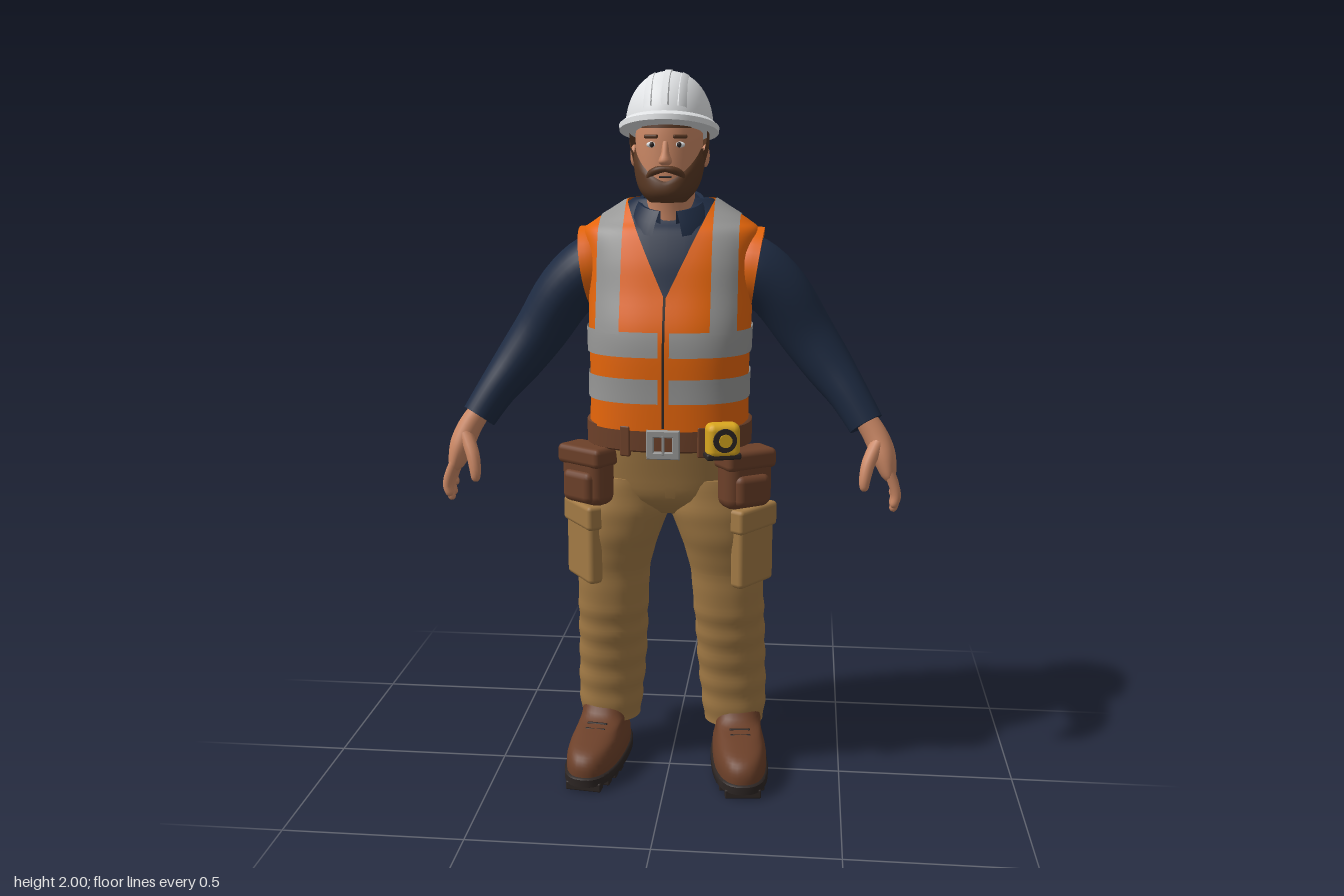
import * as THREE from 'three';
import { toCreasedNormals } from 'three/addons/utils/BufferGeometryUtils.js';
import { RoundedBoxGeometry } from 'three/addons/geometries/RoundedBoxGeometry.js';

const V3 = THREE.Vector3, { sin, cos, abs, min, max, PI } = Math;

// Grid of points -> smooth surface with creased edges
function grid(nu, nv, fn) {
  const pos = [], idx = [];
  for (let i = 0; i <= nu; i++) for (let j = 0; j <= nv; j++) pos.push(...fn(i, j).toArray());
  for (let i = 0; i < nu; i++) for (let j = 0; j < nv; j++) {
    const p = i * (nv + 1) + j, s = p + nv + 1;
    idx.push(p, p + 1, s + 1, p, s + 1, s);
  }
  const g = new THREE.BufferGeometry();
  g.setAttribute('position', new THREE.Float32BufferAttribute(pos, 3));
  g.setIndex(idx);
  return toCreasedNormals(g.scale(100, 100, 100), 0.85).scale(0.01, 0.01, 0.01);
}

// Rows are [x, y, z, sideRadius, depthRadius]; smooth() adds rows along a spline
function smooth(rows, k = 4) {
  const out = [], at = i => rows[max(0, min(rows.length - 1, i))];
  for (let i = 0; i < rows.length - 1; i++) for (let s = 0; s < k; s++) {
    const t = s / k, [a, b, c, d] = [at(i - 1), at(i), at(i + 1), at(i + 2)];
    out.push(b.map((_, q) => 0.5 * (2 * b[q] + (c[q] - a[q]) * t + (2 * a[q] - 5 * b[q] + 4 * c[q] - d[q]) * t * t
      + (3 * b[q] - a[q] - 3 * c[q] + d[q]) * t * t * t)));
  }
  return [...out, rows.at(-1)];
}
const pw = (v, n) => Math.sign(v) * Math.pow(abs(v), 2 / n);

// Closed tube through the rows; rings stay level unless level is false
function loft(rows, { n = 2, seg = 28, level = true } = {}) {
  const first = rows[0], last = rows.at(-1);
  const all = [[...first.slice(0, 3), 0, 0], ...rows, [...last.slice(0, 3), 0, 0]];
  const vec = i => new V3(...rows[max(0, min(rows.length - 1, i))].slice(0, 3));
  const frames = all.map((_, i) => {
    const T = level ? new V3(0, 1, 0) : vec(i).sub(vec(i - 2)).normalize();
    const U = new V3(0, 0, 1).addScaledVector(T, -T.z).normalize();
    return [U, T.clone().cross(U)];
  });
  return grid(all.length - 1, seg, (i, j) => {
    const a = (j % seg) / seg * 2 * PI, [x, y, z, rx, rz] = all[i];
    return new V3(x, y, z).addScaledVector(frames[i][0], rz * pw(cos(a), n)).addScaledVector(frames[i][1], rx * pw(sin(a), n));
  });
}

// Point on a level loft by angle (0 = front), height and outward offset
function surface(rows, n = 2) {
  const row = y => {
    let i = 0;
    while (i < rows.length - 2 && rows[i + 1][1] < y) i++;
    const t = max(0, min(1, (y - rows[i][1]) / (rows[i + 1][1] - rows[i][1])));
    return rows[i].map((v, c) => v + (rows[i + 1][c] - v) * t);
  };
  const P = (a, y, off = 0) => {
    const [x, , z, rx, rz] = row(y);
    return new V3(x + (rx + off) * pw(sin(a), n), y, z + (rz + off) * pw(cos(a), n));
  };
  return Object.assign(P, { row });
}
const patch = (P, a0, a1, y0, y1, off, nu = 8, nv = 16) =>
  grid(nu, nv, (i, j) => P(a0 + (a1 - a0) * j / nv, y0 + (y1 - y0) * i / nu, off));
const box = (w, h, d, r, x, y, z, ry = 0) => new RoundedBoxGeometry(w, h, d, 2, r).rotateY(ry).translate(x, y, z);
const ball = (sx, sy, sz, x, y, z) => new THREE.SphereGeometry(1, 18, 12).scale(sx, sy, sz).translate(x, y, z);

function mirrored(geo) {
  const g = (geo.index ? geo.toNonIndexed() : geo.clone()).scale(-1, 1, 1);
  g.clearGroups();
  const order = [];
  for (let i = 0; i < g.attributes.position.count; i += 3) order.push(i, i + 2, i + 1);
  return g.setIndex(order);
}

export function createModel() {
  const model = new THREE.Group();
  model.name = 'constructionWorker';
  const mat = (name, color) => Object.assign(new THREE.MeshStandardMaterial({ color, side: THREE.DoubleSide }), { name });
  const white = mat('helmetWhite', 0xe2e4e6), orange = mat('vestOrange', 0xe5650a), grey = mat('reflectiveGrey', 0x979796),
    navy = mat('shirtNavy', 0x1e2b42), tan = mat('trouserTan', 0xa27a45), leather = mat('leatherBrown', 0x6c4029),
    skin = mat('skin', 0xcb8865), hair = mat('hairBrown', 0x593823), yellow = mat('tapeYellow', 0xdba81f), dark = mat('darkRubber', 0x2c2523);
  const add = (name, geo, m, parent = model) => {
    const mesh = new THREE.Mesh(geo, m);
    mesh.name = name;
    parent.add(mesh);
  };
  const pair = (name, geo, m) => { add(name + 'Left', geo, m); add(name + 'Right', mirrored(geo), m); };

  // Torso shirt and open-necked vest
  const N = 2.6;
  const vestRows = smooth([[0, 1.05, -.005, .222, .178], [0, 1.15, -.01, .219, .181], [0, 1.3, -.02, .224, .186], [0, 1.42, -.042, .228, .17],
    [0, 1.5, -.055, .235, .158], [0, 1.57, -.066, .244, .136], [0, 1.6, -.073, .215, .116], [0, 1.63, -.078, .167, .096], [0, 1.66, -.08, .12, .075]], 6);
  const vest = surface(vestRows, N);
  add('shirtBody', loft(vestRows.map(([x, y, z, a, b]) => [x, y, z, a - .012, b - .012]), { n: N, seg: 48 }), navy);
  add('vest', grid(vestRows.length - 1, 72, (i, j) => {
    const [, y, , rx] = vestRows[i], neck = max(0, (y - 1.4) * .47) / rx;
    const g = Math.asin(min(.97, Math.pow(neck, N / 2)));
    return vest(g + (2 * PI - 2 * g) * j / 72, y);
  }), orange);
  for (const y of [1.125, 1.25]) add('waistStripe', patch(vest, .03, 2 * PI - .03, y, y + .067, .005, 6, 72), grey);
  add('zip', patch(vest, -.004, .004, 1.06, 1.41, .008, 16, 2), dark);

  // Reflective braces running over each shoulder
  const off = .006, topAt = x => {
    let lo = 1.57, hi = 1.66;
    for (let i = 0; i < 30; i++) { const m = (lo + hi) / 2; if (vest.row(m)[3] + off > x) lo = m; else hi = m; }
    return lo;
  };
  pair('shoulderStripe', grid(64, 6, (i, j) => {
    const x = .122 + .07 * j / 6, u = i / 32 - 1, top = topAt(x), y = top - (top - 1.31) * Math.pow(abs(u), 1.7);
    const a = Math.asin(min(1, Math.pow(x / (vest.row(y)[3] + off), N / 2)));
    return vest(u < 0 ? a : PI - a, y, off);
  }), grey);
  pair('armhole', loft(smooth([[.15, 1.48, -.07, .085, .09], [.2, 1.474, -.07, .11, .114], [.24, 1.468, -.07, .115, .122]]), { level: false }), orange);

  // Shirt collar, open at the front
  const collar = [[1.6, .122, .115, .34], [1.63, .113, .105, .3], [1.657, .09, .087, .27], [1.655, .08, .08, .27], [1.6, .078, .078, .27]];
  add('collar', grid(4, 40, (i, j) => {
    const [y, rx, rz, g] = collar[i], a = g + (2 * PI - 2 * g) * j / 40, z = -.04 + rz * cos(a);
    return new V3(rx * sin(a), y - .33 * (z + .04), z);
  }), navy);

  // Arms and hands
  pair('sleeve', loft(smooth([[.15, 1.49, -.07, .08, .09], [.22, 1.468, -.074, .091, .105], [.3, 1.4, -.08, .086, .1], [.375, 1.29, -.085, .078, .086],
    [.44, 1.2, -.07, .069, .077], [.5, 1.12, -.037, .056, .062], [.548, 1.045, -.008, .05, .05]]), { level: false }), navy);
  pair('palm', loft(smooth([[.535, 1.075, -.012, .03, .035], [.572, 1.02, 0, .034, .037], [.597, .965, .004, .034, .05], [.612, .915, .006, .024, .05],
    [.617, .897, .006, .015, .042]]), { level: false }), skin);
  [-.034, -.009, .016, .041].forEach((z, i) => {
    const y = [.835, .812, .803, .82][i];
    pair('finger', loft(smooth([[.608, .93, z, .014, .014], [.629, .88, z, .014, .0135], [.635, (y + .88) / 2, z, .013, .0125],
      [.629, y + .008, z, .011, .011], [.627, y, z, .005, .005]], 3), { level: false, seg: 12 }), skin);
  });
  pair('thumb', loft(smooth([[.58, 1, .025, .02, .02], [.556, .95, .052, .019, .019], [.546, .905, .066, .016, .016], [.545, .88, .069, .012, .012],
    [.545, .872, .07, .005, .005]], 3), { level: false, seg: 14 }), skin);

  // Trousers
  const hipRows = smooth([[0, .79, -.025, .09, .08], [0, .84, -.025, .19, .135], [0, .92, -.028, .222, .158], [0, 1.03, -.012, .213, .165]]);
  const hips = surface(hipRows, 2.3);
  add('trouserSeat', loft(hipRows, { n: 2.3, seg: 40 }), tan);
  add('fly', patch(hips, 0, .1, .85, 1, .005), tan);
  pair('backPocket', patch(hips, PI - .8, PI - .25, .83, .94, .006), tan);
  const legRows = smooth([[.185, .125, -.085, .088, .083], [.184, .2, -.084, .095, .09], [.178, .3, -.078, .099, .1], [.173, .42, -.062, .101, .112],
    [.168, .52, -.038, .102, .108], [.162, .62, -.026, .105, .108], [.146, .72, -.022, .118, .13], [.131, .8, -.024, .131, .142], [.115, .9, -.028, .105, .14]], 8)
    .map(([x, y, z, a, b]) => { const f = 1 + (y < .5 ? .02 : .006) * sin(y * 80); return [x, y, z, a * f, b * f]; });
  const leg = surface(legRows, 2.2);
  pair('trouserLeg', loft(legRows, { n: 2.2, seg: 36 }), tan);
  pair('kneePatch', patch(leg, -.95, .95, .43, .62, .006, 14), tan);
  pair('cargoPocket', box(.15, .2, .045, .014, .238, .69, .048, .96), tan);
  pair('cargoFlap', box(.166, .07, .052, .012, .24, .785, .05, .96), tan);

  // Tool belt, buckle, pouches and tape measure
  add('belt', loft([[0, .99, -.008, .224, .174], [0, .995, -.008, .231, .18], [0, 1.055, -.008, .231, .18], [0, 1.06, -.008, .224, .174]], { n: 2.4, seg: 48 }), leather);
  const frame = new THREE.Shape([[-.042, -.037], [.042, -.037], [.042, .037], [-.042, .037]].map(p => new THREE.Vector2(...p)));
  frame.holes.push(new THREE.Path([[-.028, -.023], [-.028, .023], [.028, .023], [.028, -.023]].map(p => new THREE.Vector2(...p))));
  add('buckle', new THREE.ExtrudeGeometry(frame, { depth: .012, bevelSize: .003, bevelThickness: .003, bevelSegments: 1 }).translate(0, 1.015, .17), grey);
  add('bucklePin', box(.008, .055, .008, .002, 0, 1.015, .182), grey);
  pair('pouch', box(.145, .155, .085, .03, .217, .905, .095, .6), leather);
  pair('pouchPocket', box(.105, .09, .05, .02, .235, .882, .122, .6), leather);
  pair('pouchFlap', box(.155, .055, .095, .015, .217, .967, .096, .6), leather);
  pair('beltLoop', box(.03, .085, .014, .005, .105, 1.02, .157, .3), leather);
  add('tapeMeasure', box(.092, .095, .06, .02, .16, 1.033, .178, .3), yellow);
  add('tapeDial', new THREE.CylinderGeometry(.032, .032, .008, 24).rotateX(PI / 2).rotateY(.3).translate(.169, 1.037, .208), dark);
  add('tapeHub', new THREE.CylinderGeometry(.018, .018, .008, 20).rotateX(PI / 2).rotateY(.3).translate(.1705, 1.037, .211), yellow);
  add('tapeBumper', box(.096, .018, .05, .006, .16, .991, .18, .3), dark);

  // Boots
  const foot = g => g.rotateY(.12).translate(.207, 0, .02);
  pair('boot', foot(loft(smooth([[0, .035, 0, .076, .19], [0, .075, 0, .077, .188], [0, .105, -.006, .071, .168], [0, .125, -.035, .066, .125],
    [0, .145, -.085, .068, .092], [0, .185, -.105, .074, .078]]), { n: 2.4, seg: 36 })), leather);
  pair('sole', foot(loft([[0, .016, 0, .078, .19], [0, .02, 0, .082, .198], [0, .042, 0, .082, .198], [0, .046, 0, .078, .192]], { n: 2.5, seg: 36 })), dark);
  for (let i = 0; i < 8; i++) {
    const z = -.165 + i * .047, w = .14 * Math.sqrt(1 - (z / .215) ** 2) + .012;
    if (i !== 3) pair('tread', foot(box(w, .026, .033, .004, 0, .013, z)), dark);
  }
  for (let i = 0; i < 3; i++) pair('lace', foot(box(.06, .007, .009, .003, 0, .123 + i * .007, .07 - i * .024)), dark);

  // Head and neck
  const headRows = smooth([[0, 1.655, .05, .035, .045], [0, 1.68, .042, .06, .07], [0, 1.72, .02, .078, .094], [0, 1.78, .008, .088, .106],
    [0, 1.84, .003, .09, .108], [0, 1.9, 0, .083, .1]]);
  const head = surface(headRows, 2.1);
  add('head', loft(headRows, { n: 2.1, seg: 36 }), skin);
  add('neck', loft(smooth([[0, 1.55, -.045, .068, .07], [0, 1.64, -.035, .066, .068], [0, 1.74, -.015, .068, .074]])), skin);
  add('nose', loft(smooth([[0, 1.752, .112, .01, .012], [0, 1.762, .114, .018, .022], [0, 1.785, .11, .011, .018], [0, 1.815, .104, .009, .01]]), { seg: 16 }), skin);
  pair('ear', ball(.012, .03, .018, .096, 1.775, -.008), skin);
  pair('eyeWhite', ball(.015, .008, .006, .036, 1.805, .104), white);
  pair('pupil', ball(.006, .007, .004, .036, 1.805, .109), dark);
  pair('eyebrow', box(.038, .01, .014, .004, .038, 1.826, .105, .3), hair);

  // Beard, moustache and hair
  add('beard', grid(10, 32, (i, j) => {
    const a = -1.65 + 3.3 * j / 32, top = 1.71 + .085 * Math.pow(min(1, abs(a) / 1.3), 1.5), t = i / 10;
    return head(a, 1.655 + (top - 1.655) * t, .011 * Math.sqrt(1 - t * t) + .002);
  }), hair);
  add('beardChin', ball(.052, .026, .056, 0, 1.683, .066), hair);
  pair('moustache', loft(smooth([[-.002, 1.743, .12, .007, .008], [.02, 1.74, .116, .01, .01], [.04, 1.73, .104, .009, .01], [.052, 1.708, .091, .006, .008]]), { level: false, seg: 12 }), hair);
  add('mouth', box(.034, .005, .006, .002, 0, 1.722, .115), dark);
  add('hairBack', grid(10, 40, (i, j) => {
    const a = 1.3 + (2 * PI - 2.6) * j / 40, low = 1.78 - .085 * min(1, max(0, PI - 1.3 - abs(a - PI)) / .7), t = i / 10;
    return head(a, low + (1.9 - low) * t, .005 + .012 * Math.sqrt(min(1, t * 3)));
  }), hair);
  add('fringe', patch(head, -.75, .75, 1.848, 1.9, .006), hair);

  // Hard hat with raised ridges, tipped back
  const helmet = new THREE.Group();
  helmet.name = 'hardHat';
  helmet.position.set(0, 1.848, .004);
  helmet.rotation.x = -.2;
  model.add(helmet);
  const dome = [];
  for (let i = 0; i <= 14; i++) {
    const t = i / 14 * PI / 2, r = Math.pow(cos(t), .9);
    dome.push([0, .147 * sin(t), 0, .118 * r, .147 * r]);
  }
  add('dome', loft(dome, { seg: 40 }), white, helmet);
  add('brim', loft([[0, -.014, .003, .122, .152], [0, -.012, .004, .133, .164], [0, .002, .004, .134, .165], [0, .014, .002, .12, .15]], { seg: 48 }), white, helmet);
  for (const x0 of [-.045, 0, .045]) add('ridge', grid(28, 3, (i, j) => {
    const x = x0 + [-.014, -.008, .008, .014][j], k = Math.sqrt(1 - (x / .118) ** 2), o = (j % 3 ? .005 : -.003), f = .2 + (PI - .4) * i / 28;
    return new V3(x, (.147 * k + o) * sin(f), (.147 * k + o) * cos(f));
  }), white, helmet);
  return model;
}
